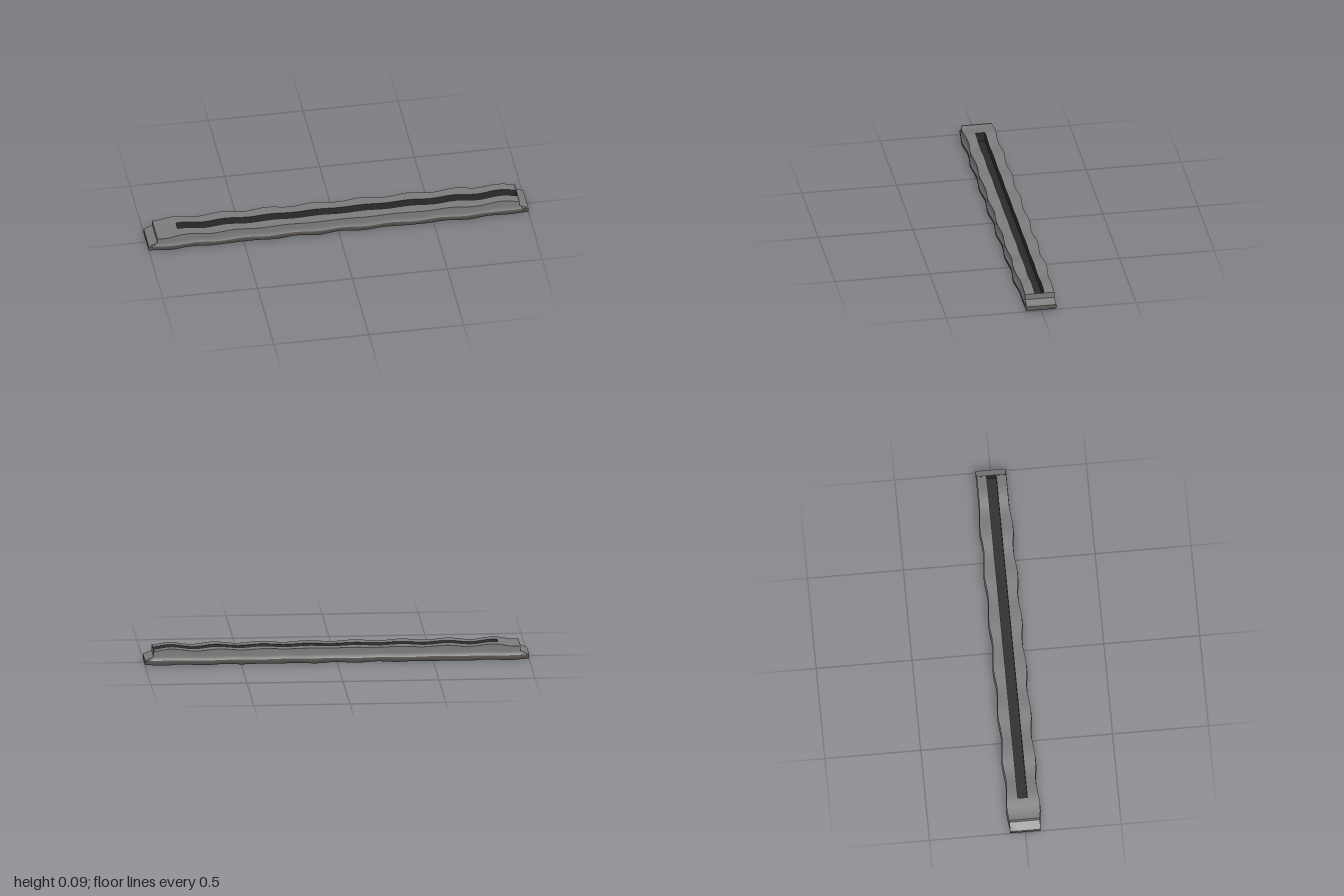
import * as THREE from 'three';
import { toCreasedNormals } from 'three/addons/utils/BufferGeometryUtils.js';

const END = 0.955;            // where the raised rail stops
const GROOVE = [-0.84, 0.95]; // slot extent along x
const wave = (x, peak, period) => Math.cos((2 * Math.PI * (x - peak)) / period);

// Gently rippling width, top and underside along the strip
const halfWidth = (x) => (x > 0.79 ? 0.08 : 0.085 + 0.005 * wave(x, 0.148, 0.257));
const topHeight = (x) => 0.08 + (0.002 + 0.0065 * x * x) * wave(x, 0.62, 0.239);
const underside = (x) => (Math.abs(x) > 0.96 ? 0.004 : 0.002 + 0.002 * wave(x, -0.8, 0.2));

// Cross-section from the +z foot over the top to the -z foot, as [z, y]
function section(x, top, grooved) {
  const w = halfWidth(x);
  const floor = grooved ? 0.035 : top;
  const half = [
    [w - 0.001, underside(x)],
    [w, 0.026],
    [w - 0.004, Math.min(0.036, top)],
    [w - 0.005, Math.min(0.046, top)],
    [w - 0.003, top],
    [0.025, top],
    [0.025, floor],
  ];
  return [...half, ...half.map(([z, y]) => [-z, y]).reverse()];
}

// Stations along x: sloped ends, abrupt rail ends and abrupt slot ends
function makeStations() {
  const list = [[-1, 0.028, false], [-END, 0.047, false], [-END, 0.076, false]];
  const spans = [[-END, GROOVE[0], false, 8], [...GROOVE, true, 112]];
  for (const [from, to, grooved, n] of spans) {
    for (let i = 0; i <= n; i++) {
      const x = from + ((to - from) * i) / n;
      list.push([x, topHeight(x), grooved]);
    }
  }
  list.push([GROOVE[1], 0.077, false], [END, 0.077, false], [END, 0.047, false], [1, 0.028, false]);
  return list;
}

// Loft the sections and sort the faces into rail, slot and base
function loftParts(stations) {
  const rings = stations.map((station) => section(...station));
  const count = rings[0].length;
  const positions = rings.flatMap((ring, i) => ring.flatMap(([z, y]) => [stations[i][0], y, z]));
  const parts = { rail: [], slot: [], base: [] };
  for (let i = 0; i < stations.length - 1; i++) {
    const grooved = stations[i][2] || stations[i + 1][2];
    for (let j = 0; j < count; j++) {
      const k = (j + 1) % count;
      const a = i * count + j, b = a + count, c = (i + 1) * count + k, d = i * count + k;
      const inSlot = grooved && j >= 5 && j <= 7;
      const inBase = j === 0 || j >= count - 2;
      parts[inSlot ? 'slot' : inBase ? 'base' : 'rail'].push(a, b, c, a, c, d);
    }
  }
  // End caps
  const last = (stations.length - 1) * count;
  for (let j = 1; j < count - 1; j++) {
    parts.base.push(0, j, j + 1, last, last + j + 1, last + j);
  }
  return { positions, parts };
}

export function createModel() {
  const group = new THREE.Group();
  group.name = 'groovedStrip';
  const { positions, parts } = loftParts(makeStations());

  function addPart(name, index, color, crease) {
    const geometry = new THREE.BufferGeometry();
    geometry.setAttribute('position', new THREE.Float32BufferAttribute(positions, 3));
    geometry.setIndex(index);
    const material = new THREE.MeshStandardMaterial({ color });
    const mesh = new THREE.Mesh(toCreasedNormals(geometry, crease), material);
    mesh.name = name;
    group.add(mesh);
  }

  addPart('wavyRail', parts.rail, 0x7b7b7b, 0.7);
  addPart('slotLining', parts.slot, 0x2a2a2a, 0.7);
  addPart('roundedBase', parts.base, 0x66615c, 1.7);
  return group;
}
